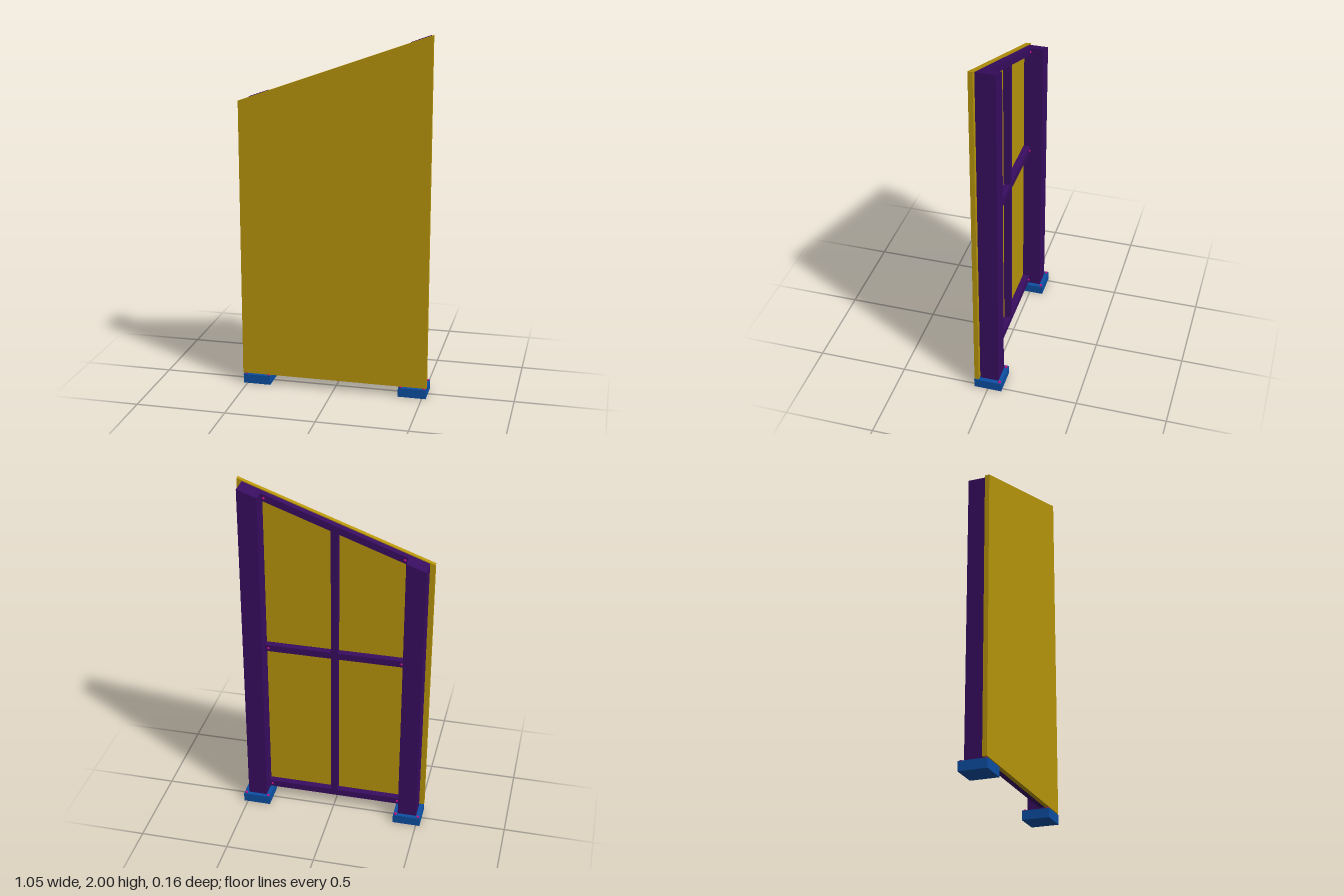
import * as THREE from 'three';

const mat = (color) => new THREE.MeshStandardMaterial({ color });
const GOLD = mat(0xb8960c), PURPLE = mat(0x380d60), BLUE = mat(0x0d4fa3), PINK = mat(0xc01080);

// Height of the sloping top edge at a given x
const topAt = (x) => 1.81 + 0.362 * x;

export function createModel() {
  const model = new THREE.Group();

  const add = (name, geometry, material, x = 0, y = 0, z = 0) => {
    const mesh = new THREE.Mesh(geometry, material);
    mesh.name = name;
    mesh.position.set(x, y, z);
    model.add(mesh);
    return mesh;
  };

  // Upright prism from x0 to x1 whose ends may follow the slope
  const prism = (name, material, x0, x1, bottom, top, z0, z1) => {
    const shape = new THREE.Shape([
      new THREE.Vector2(x0, bottom(x0)), new THREE.Vector2(x1, bottom(x1)),
      new THREE.Vector2(x1, top(x1)), new THREE.Vector2(x0, top(x0)),
    ]);
    const geometry = new THREE.ExtrudeGeometry(shape, { depth: z1 - z0, bevelEnabled: false });
    return add(name, geometry, material, 0, 0, z0);
  };

  const edge = (x) => topAt(x) - 0.005;
  const railBack = 0.012, railFront = 0.05, railSize = 0.038;

  // Front panel
  prism('panel', GOLD, -0.525, 0.525, () => 0.06, topAt, 0.05, 0.075);

  // Rails and central mullion
  const rails = [
    ['bottomRail', () => 0.067],
    ['middleRail', () => 1.0],
    ['topRail', (x) => edge(x) - 0.04],
  ];
  for (const [name, bottom] of rails) {
    const top = name === 'topRail' ? edge : (x) => bottom(x) + railSize;
    prism(name, PURPLE, -0.395, 0.395, bottom, top, railBack, railFront);
  }
  prism('mullion', PURPLE, -0.019, 0.019, () => 0.1, (x) => edge(x) - 0.02, railBack + 0.001, railFront);

  const boltHead = new THREE.CylinderGeometry(0.008, 0.008, 0.008, 16);
  const screwHead = new THREE.SphereGeometry(0.007, 12, 8);

  for (const side of [-1, 1]) {
    const label = side > 0 ? 'left' : 'right';

    // Post with sloping top
    const xs = [side * 0.39, side * 0.497].sort((a, b) => a - b);
    prism(label + 'Post', PURPLE, xs[0], xs[1], () => 0.05, edge, -0.055, 0.05);

    // Foot plate and its four corner bolts
    add(label + 'Foot', new THREE.BoxGeometry(0.156, 0.052, 0.156), BLUE, side * 0.444, 0.026, 0);
    for (const dx of [-0.065, 0.065])
      for (const z of [-0.065, 0.065])
        add(label + 'FootBolt', boltHead, PINK, side * 0.444 + dx, 0.054, z);

    // Screws where the rails meet the post
    for (const [, bottom] of rails) {
      const x = side * 0.372;
      add(label + 'RailScrew', screwHead, PINK, x, bottom(x) + railSize / 2, railBack);
    }
  }
  return model;
}
